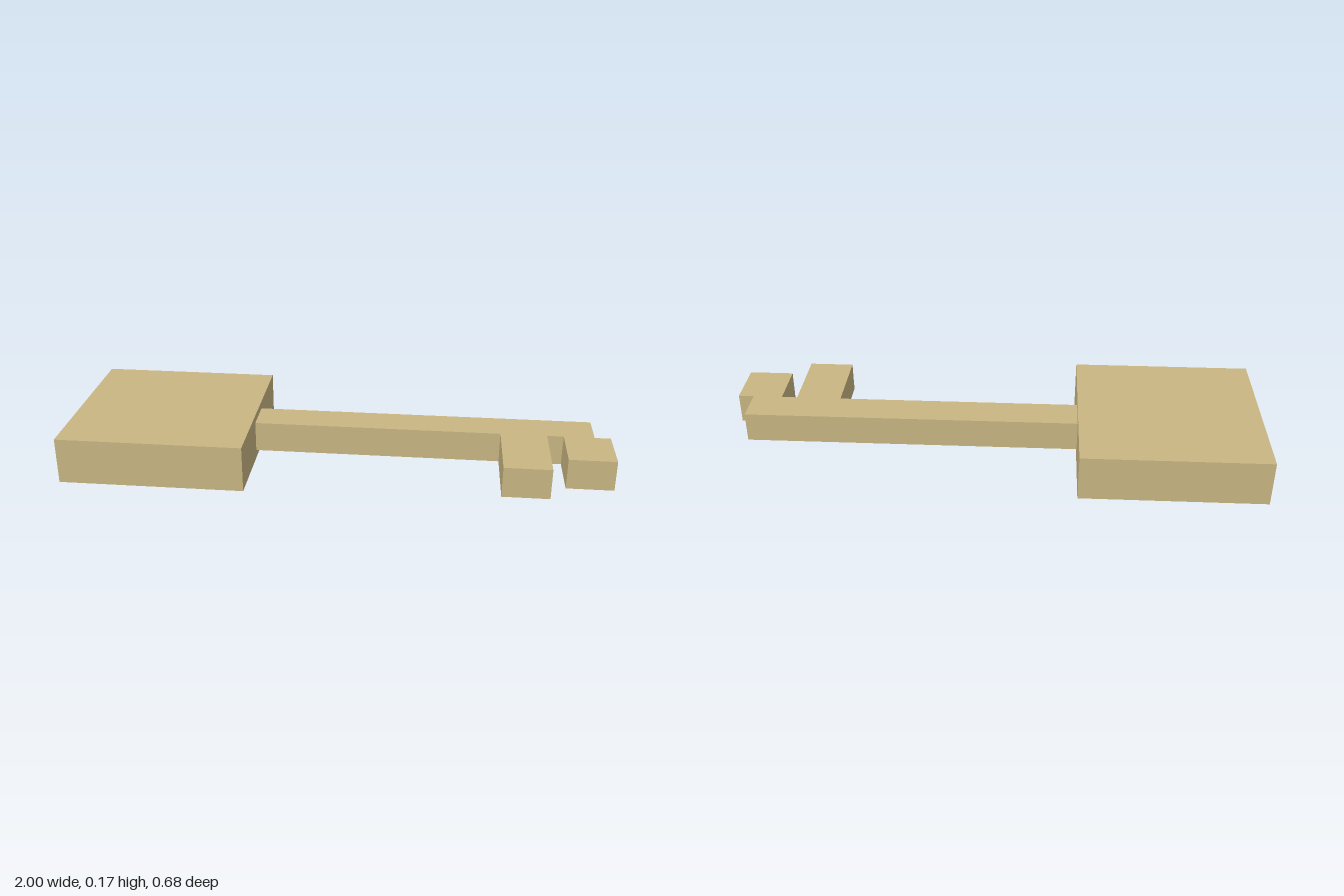
import * as THREE from 'three';

export function createModel() {
  const group = new THREE.Group();
  group.name = 'key';
  const brass = new THREE.MeshStandardMaterial({ color: 0xc9b682 });
  brass.name = 'pale brass';

  // Box given by its lower and upper limits on each axis
  const block = (name, [x0, x1], [y0, y1], [z0, z1]) => {
    const mesh = new THREE.Mesh(new THREE.BoxGeometry(x1 - x0, y1 - y0, z1 - z0), brass);
    mesh.position.set((x0 + x1) / 2, (y0 + y1) / 2, (z0 + z1) / 2);
    mesh.name = name;
    group.add(mesh);
  };

  // Square handle
  block('handle', [-1, -0.318], [0, 0.172], [-0.341, 0.341]);

  // Shaft and the two teeth share one thickness
  const thickness = [0.03, 0.144];
  block('shaft', [-0.318, 0.942], thickness, [-0.068, 0.068]);
  block('longTooth', [0.6, 0.77], thickness, [0.068, 0.341]);
  block('shortTooth', [0.83, 1], thickness, [0.068, 0.256]);

  return group;
}
